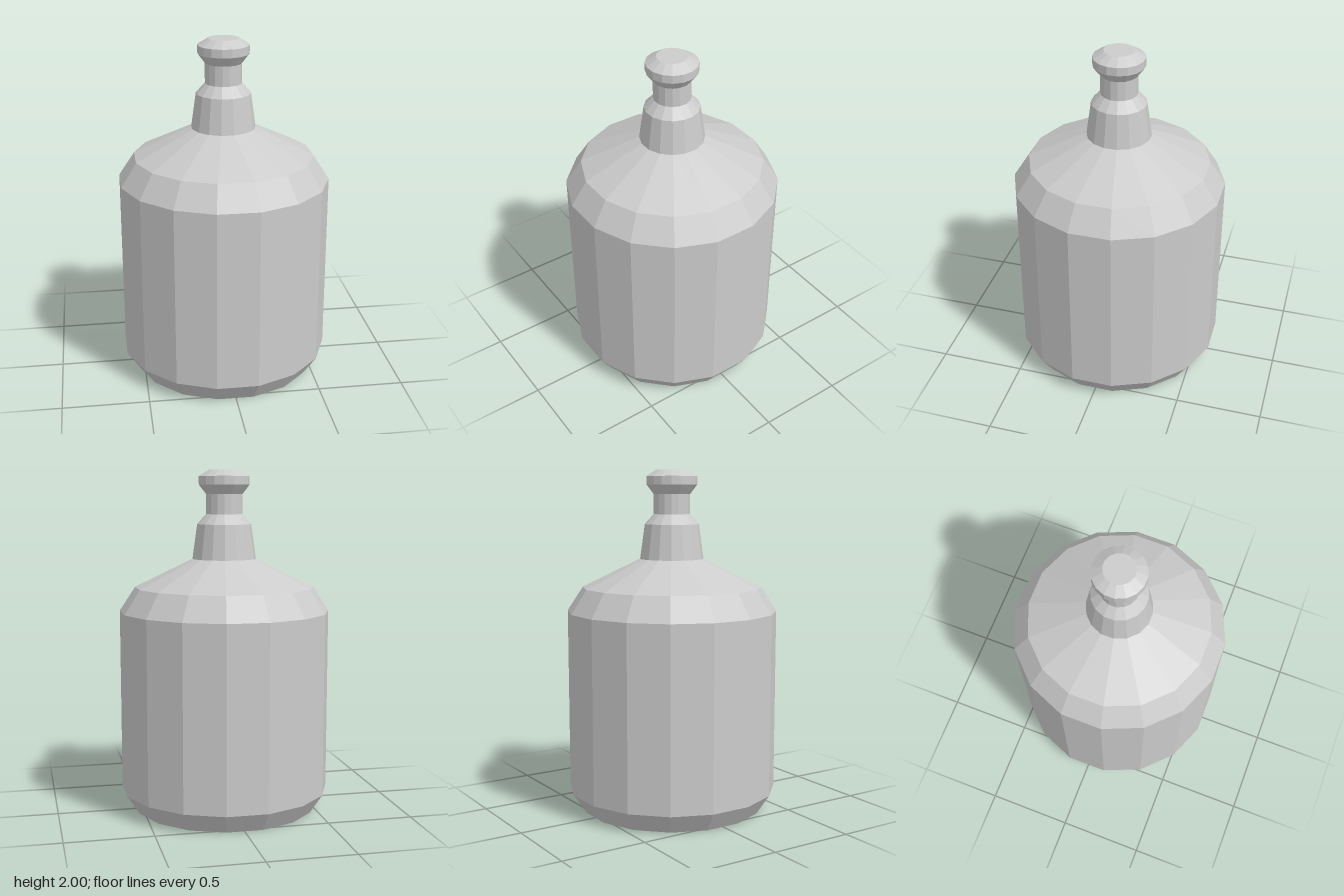
import * as THREE from 'three';

const SIDES = 16;
const STEP = Math.PI / SIDES;

// Faceted turned part; profile radii are measured to the middle of each flat
function turned(name, profile, material) {
  const points = profile.map(([r, y]) => new THREE.Vector2(r / Math.cos(STEP), y));
  const mesh = new THREE.Mesh(new THREE.LatheGeometry(points, SIDES, STEP), material);
  mesh.name = name;
  return mesh;
}

export function createModel() {
  const model = new THREE.Group();
  model.name = 'bottle';
  const glass = new THREE.MeshStandardMaterial({
    color: 0xcccccc, flatShading: true, side: THREE.DoubleSide,
  });

  // Wide body, open underneath, with bevelled base and sloping shoulder
  model.add(turned('body', [
    [0.53, 0], [0.605, 0.115], [0.605, 1.18], [0.515, 1.32], [0.183, 1.485],
  ], glass));

  // Tapered collar narrowing into the neck
  model.add(turned('neck', [
    [0.183, 1.485], [0.155, 1.687], [0.104, 1.745], [0.104, 1.86],
  ], glass));

  // Flared stopper with a flat top
  model.add(turned('stopper', [
    [0.104, 1.86], [0.145, 1.915], [0.145, 1.963], [0.086, 2], [0, 2],
  ], glass));

  return model;
}
